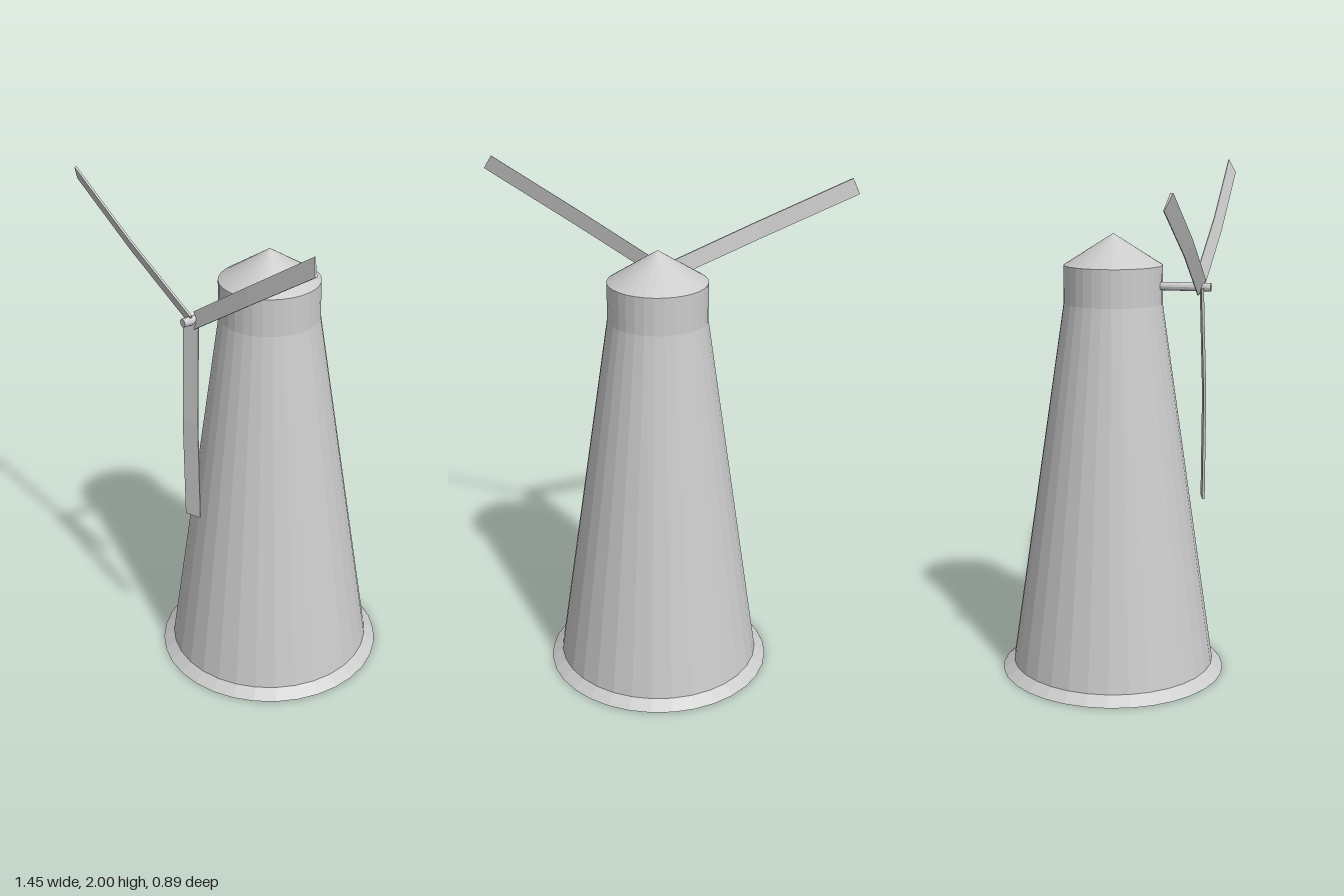
import * as THREE from 'three';

const material = new THREE.MeshStandardMaterial({ color: 0xcccccc, flatShading: true });

function add(parent, name, geometry, x = 0, y = 0, z = 0) {
  const mesh = new THREE.Mesh(geometry, material);
  mesh.name = name;
  mesh.position.set(x, y, z);
  parent.add(mesh);
  return mesh;
}

// Thin pitched blade along +y: thick leading edge at +x, bowed forward at mid-length
function bladeGeometry(length, width) {
  const geo = new THREE.BoxGeometry(width, length, 1, 1, 4, 1);
  geo.translate(0, length / 2, 0);
  const p = geo.attributes.position;
  for (let i = 0; i < p.count; i++) {
    const x = p.getX(i), t = p.getY(i) / length;
    const half = x > 0 ? 0.005 : 0.0015;
    const bow = 0.015 * Math.min(1, t / 0.5);
    p.setZ(i, Math.sign(p.getZ(i)) * half + x * 0.33 + bow);
  }
  geo.computeVertexNormals();
  return geo;
}

export function createModel() {
  const group = new THREE.Group();
  group.name = 'windmill';
  const cx = 0.023;

  // Tapered tower with flared foot and straight neck
  const profile = [[0, 0], [0.443, 0], [0.4, 0.035], [0.19, 1.47], [0.19, 1.615]];
  add(group, 'tower', new THREE.LatheGeometry(profile.map(([r, y]) => new THREE.Vector2(r, y)), 32), cx);

  // Conical roof
  add(group, 'roof', new THREE.ConeGeometry(0.19, 0.12, 32), cx, 1.675);

  // Shaft carrying the rotor
  const shaft = new THREE.CylinderGeometry(0.016, 0.016, 0.23, 12).rotateX(Math.PI / 2);
  add(group, 'shaft', shaft, 0.014, 1.54, 0.265);

  // Three blades
  const rotor = new THREE.Group();
  rotor.name = 'rotor';
  rotor.position.set(0.014, 1.537, 0.343);
  group.add(rotor);
  const geo = bladeGeometry(0.812, 0.062);
  for (const [angle, z] of [[32.2, -0.014], [154, 0], [270, 0]]) {
    const blade = add(rotor, 'blade', geo, 0, 0, z);
    blade.rotation.z = THREE.MathUtils.degToRad(angle - 90);
  }
  return group;
}
